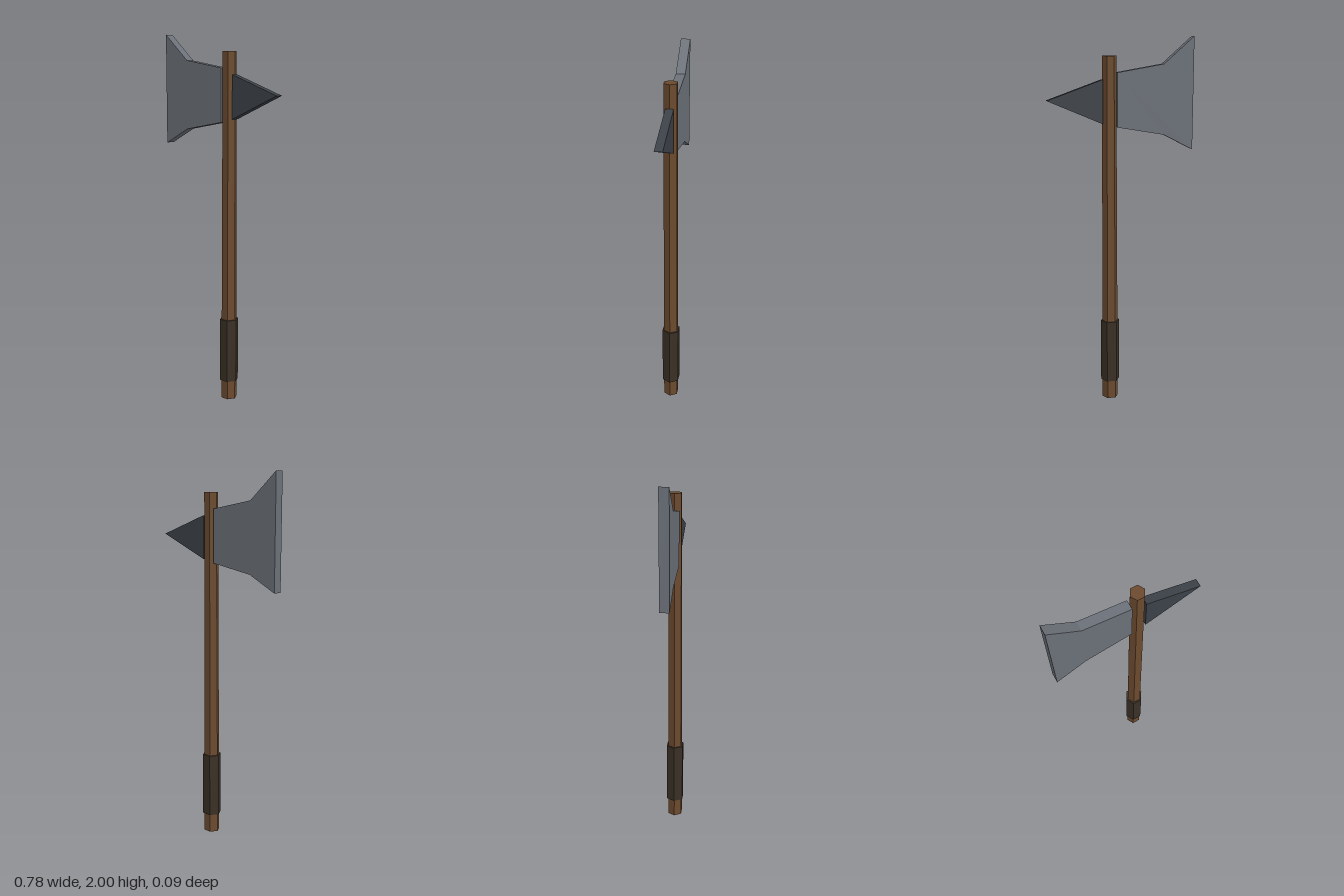
import * as THREE from 'three';

const material = (name, color) => {
  const m = new THREE.MeshStandardMaterial({ color, flatShading: true });
  m.name = name;
  return m;
};

export function createModel() {
  const wood = material('brown wood', 0x6b4a2e);
  const leather = material('dark leather', 0x3a3025);
  const steel = material('grey steel', 0x6b7078);
  const darkSteel = material('dark steel', 0x3c4148);

  const axe = new THREE.Group();
  axe.name = 'axe';
  const shaftX = 0.06;

  const add = (name, geometry, mat) => {
    const mesh = new THREE.Mesh(geometry, mat);
    mesh.name = name;
    axe.add(mesh);
  };

  // Six-sided rod standing between two heights, corners towards +x and -x
  const rod = (rTop, rBottom, y0, y1) =>
    new THREE.CylinderGeometry(rTop, rBottom, y1 - y0, 6)
      .rotateY(Math.PI / 6)
      .translate(shaftX, (y0 + y1) / 2, 0);

  // Flat plate with a given outline, centred on z = 0
  const plate = (points, depth) =>
    new THREE.ExtrudeGeometry(
      new THREE.Shape(points.map(([x, y]) => new THREE.Vector2(x, y))),
      { depth, bevelEnabled: false }
    ).translate(0, 0, -depth / 2);

  add('shaft', rod(0.038, 0.044, 0, 1.9), wood);
  add('grip', rod(0.052, 0.052, 0.105, 0.457), leather);

  // Flared blade
  add('blade', plate([
    [-0.392, 1.405], [-0.23, 1.488], [0.022, 1.532],
    [0.022, 1.815], [-0.23, 1.858], [-0.392, 2.0],
  ], 0.05), steel);

  // Rear spike
  add('spike', plate([[0.098, 1.55], [0.392, 1.675], [0.098, 1.78]], 0.042), darkSteel);

  return axe;
}
